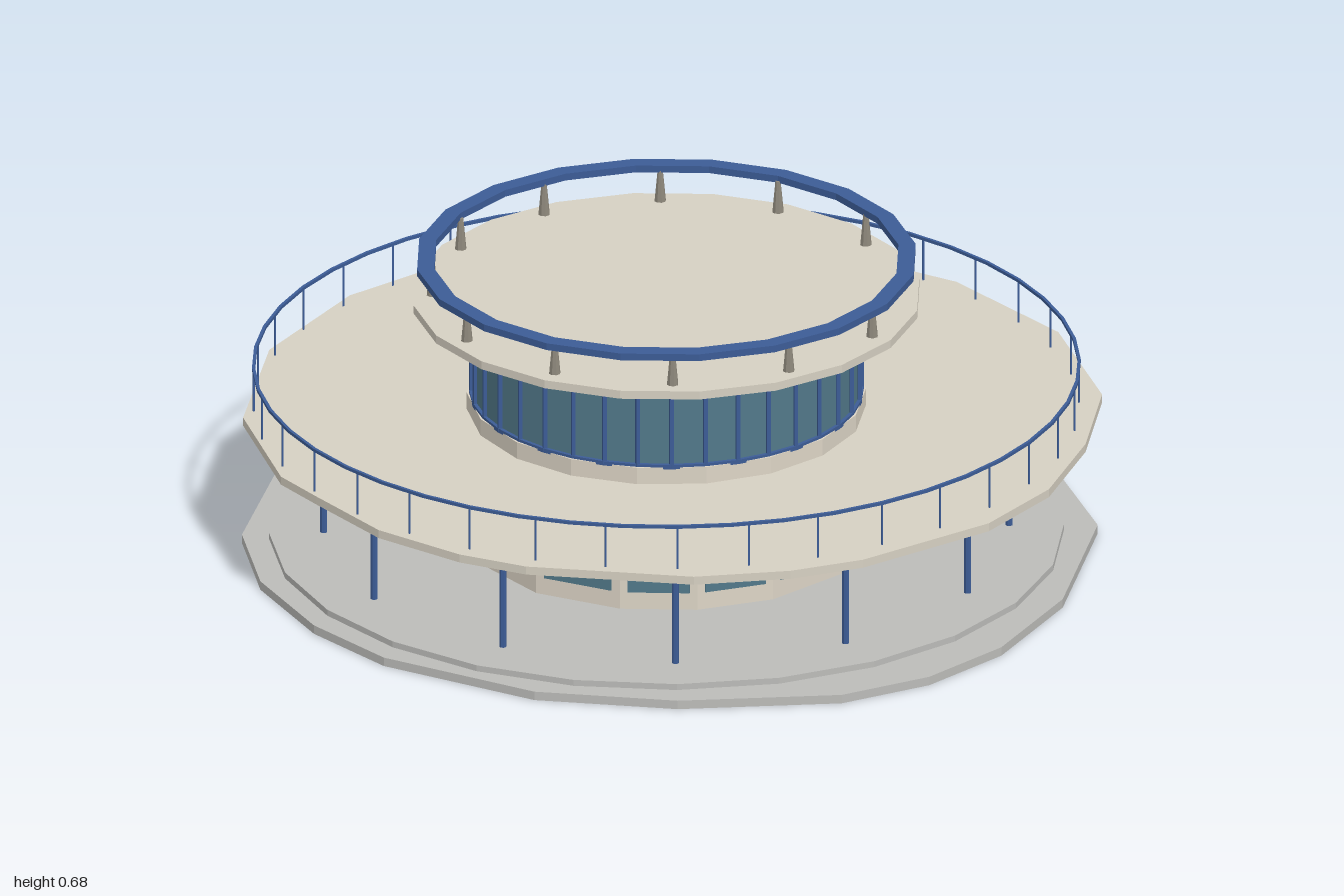
import * as THREE from 'three';

const CX = 0.035, CZ = -0.005; // common axis of all the round parts
const mat = (color, side = THREE.FrontSide) => new THREE.MeshStandardMaterial({ color, side, flatShading: true });
const CREAM = mat(0xd6d0c2), WALL = mat(0xddd5c6), GLASS = mat(0x52798a), BLUE = mat(0x3c5c96),
  STEEL = mat(0x434b55), STONE = mat(0xbcbcb9), POST = mat(0x8d877b);

export function createModel() {
  const root = new THREE.Group();

  const add = (name, geometry, material, parent = root) => {
    const m = new THREE.Mesh(geometry, material);
    m.name = name;
    parent.add(m);
    return m;
  };
  const group = (name) => {
    const g = new THREE.Group();
    g.name = name;
    root.add(g);
    return g;
  };
  // angle in degrees, measured from the front (+z) towards +x
  const polar = (deg, r) => {
    const a = THREE.MathUtils.degToRad(deg);
    return [CX + r * Math.sin(a), CZ + r * Math.cos(a)];
  };
  const ringPoints = (n, r, offset = 0) => Array.from({ length: n }, (_, i) => polar(offset + i * 360 / n, r));
  // vertical prism over an outline of [x, z] points, with an optional hole
  const prism = (name, pts, y0, y1, material, hole) => {
    const v = (list) => list.map(([x, z]) => new THREE.Vector2(x, -z));
    const shape = new THREE.Shape(v(pts));
    if (hole) shape.holes.push(new THREE.Path(v(hole)));
    const g = new THREE.ExtrudeGeometry(shape, { depth: y1 - y0, bevelEnabled: false });
    g.rotateX(-Math.PI / 2).translate(0, y0, 0);
    return add(name, g, material);
  };
  // circle of upright posts
  const posts = (name, n, r, y0, y1, rTop, rBottom, material, sides = 6, offset = 0) => {
    const g = group(name);
    for (const [x, z] of ringPoints(n, r, offset)) {
      add(name + 'Post', new THREE.CylinderGeometry(rTop, rBottom, y1 - y0, sides), material, g)
        .position.set(x, (y0 + y1) / 2, z);
    }
    return g;
  };

  // Ground slab in two thin steps
  const slab = [[-0.1, -0.925], [0.24, -0.91], [0.58, -0.76], [0.84, -0.5], [0.97, -0.1], [0.98, 0.2],
    [0.92, 0.42], [0.8, 0.6], [0.5, 0.8], [0.2, 0.905], [-0.18, 0.895], [-0.4, 0.81], [-0.62, 0.65],
    [-0.78, 0.44], [-0.88, 0.1], [-0.86, -0.2], [-0.7, -0.56], [-0.4, -0.82]];
  prism('groundSlab', slab, 0, 0.02, STONE);
  prism('groundStep', ringPoints(24, 0.87), 0.02, 0.034, STONE);

  // Lower storey: one wall facet per window, one blank facet by the stairs' far side
  const facets = [-55, -24, 4.5, 27, 47, 71, 99, 128, 158, 182, 207, 232, 256, 281];
  const blank = 128, wallR = 0.46;
  const corners = facets.map((a, i) => polar((a + (facets[i + 1] ?? 305)) / 2, wallR));
  prism('lowerWall', corners, 0.03, 0.306, WALL);
  const windows = group('lowerWindows');
  facets.forEach((a, i) => {
    if (a === blank) return;
    const [x0, z0] = corners[(i + corners.length - 1) % corners.length], [x1, z1] = corners[i];
    const len = Math.hypot(x1 - x0, z1 - z0);
    const w = add('lowerWindow', new THREE.BoxGeometry(len * 0.8, 0.205, 0.008), GLASS, windows);
    w.position.set((x0 + x1) / 2, 0.177, (z0 + z1) / 2);
    w.rotation.y = Math.atan2(-(z1 - z0), x1 - x0);
  });

  // Deck with a slightly irregular rim, on a circle of columns
  const deck = [[-0.08, -0.94], [0.26, -0.92], [0.59, -0.78], [0.84, -0.52], [0.94, -0.26], [0.99, 0],
    [0.965, 0.23], [0.82, 0.54], [0.71, 0.67], [0.54, 0.8], [0.19, 0.925], [0.03, 0.935], [-0.19, 0.9],
    [-0.4, 0.8], [-0.52, 0.74], [-0.75, 0.49], [-0.88, 0.13], [-0.87, -0.22], [-0.78, -0.45], [-0.4, -0.83]];
  prism('deck', deck, 0.304, 0.323, CREAM);
  posts('column', 12, 0.75, 0.03, 0.304, 0.008, 0.008, BLUE, 8);
  posts('columnCapital', 12, 0.75, 0.288, 0.304, 0.018, 0.01, BLUE, 8);

  // Deck railing
  prism('deckHandrail', ringPoints(48, 0.907), 0.419, 0.426, BLUE, ringPoints(48, 0.9));
  posts('deckRailing', 36, 0.903, 0.323, 0.42, 0.0025, 0.0025, BLUE, 4);

  // Upper storey: sill, glass drum, frame rings and mullions
  prism('upperSill', ringPoints(18, 0.437), 0.32, 0.362, WALL);
  prism('upperGlass', ringPoints(36, 0.424), 0.36, 0.578, GLASS);
  for (const [y0, y1] of [[0.358, 0.368], [0.545, 0.553], [0.567, 0.577]]) {
    prism('upperFrameRing', ringPoints(36, 0.432), y0, y1, BLUE, ringPoints(36, 0.41));
  }
  posts('mullion', 36, 0.427, 0.362, 0.575, 0.006, 0.006, BLUE, 4);

  // Roof plate with a raised ring on short tapered posts
  prism('roof', ringPoints(20, 0.558), 0.576, 0.595, CREAM);
  posts('roofRingSupport', 12, 0.512, 0.595, 0.668, 0.006, 0.013, POST, 8);
  prism('roofRing', ringPoints(20, 0.55), 0.664, 0.68, BLUE, ringPoints(20, 0.512));

  // Open stair climbing beside the deck
  const stairs = group('stairs');
  const steps = 17;
  for (let i = 0; i < steps; i++) {
    const t = i / (steps - 1);
    const tread = add('stairTread', new THREE.BoxGeometry(0.125, 0.009, 0.03), STEEL, stairs);
    tread.position.set(-0.945 + 0.275 * t, 0.038 + 0.257 * t, -0.435 - 0.275 * t);
    tread.rotation.y = -Math.PI / 4;
  }

  return root;
}
